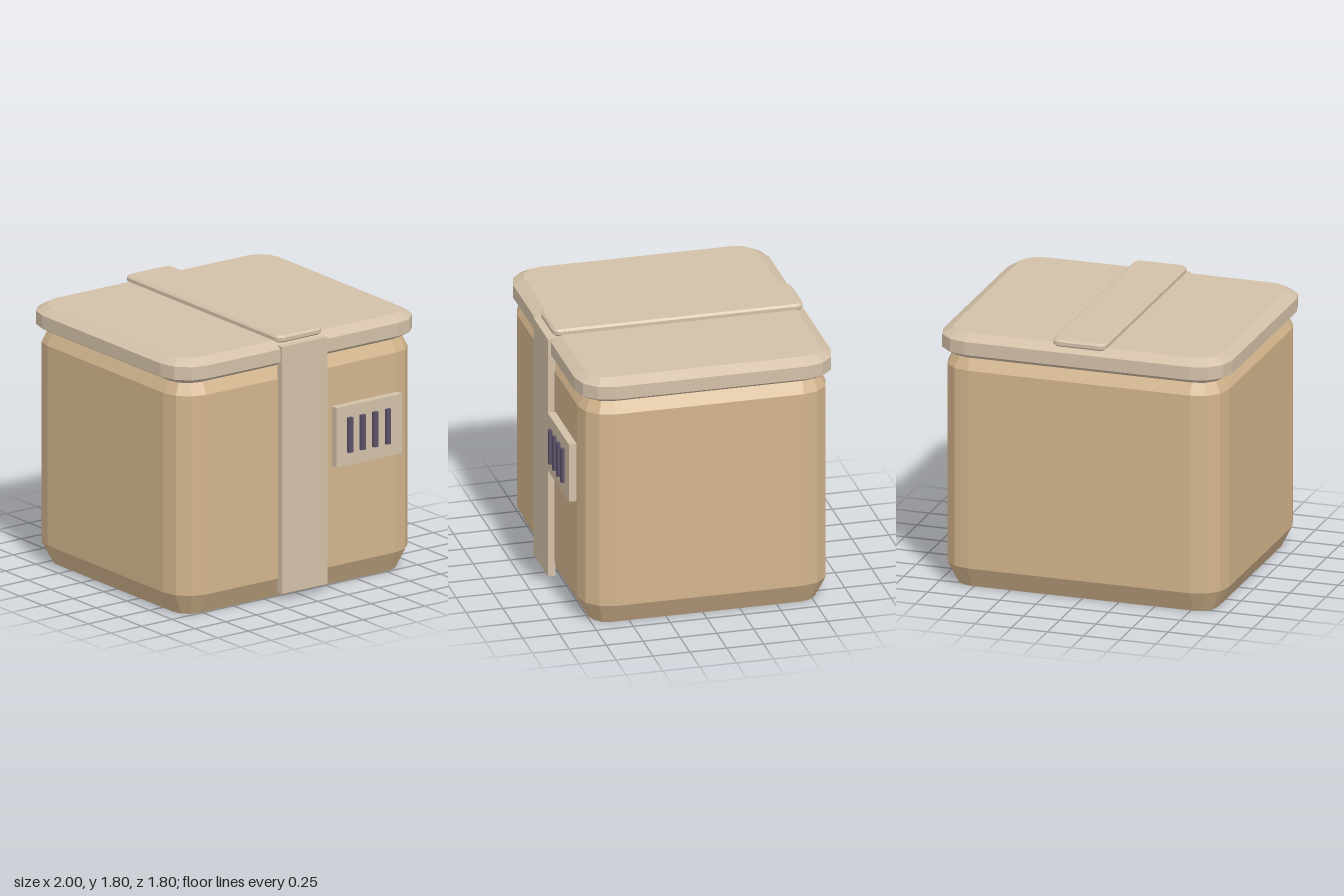
import * as THREE from 'three';

const mat = (name, color) => {
  const m = new THREE.MeshStandardMaterial({ color, flatShading: true });
  m.name = name;
  return m;
};

// Rounded rectangle ring at height y, shrunk evenly by inset (3 facets per corner)
function ring(halfX, halfZ, radius, inset, y) {
  const pts = [], r = radius - inset;
  for (let c = 0; c < 4; c++) {
    const sx = c === 0 || c === 3 ? 1 : -1, sz = c < 2 ? 1 : -1;
    for (let i = 0; i <= 3; i++) {
      const a = (c + i / 3) * Math.PI / 2;
      pts.push([sx * (halfX - radius) + r * Math.cos(a), y, sz * (halfZ - radius) + r * Math.sin(a)]);
    }
  }
  return pts;
}

// Closed loft through [inset, y] levels, bottom to top
function bevelledSlab(halfX, halfZ, radius, levels) {
  const rings = levels.map(([inset, y]) => ring(halfX, halfZ, radius, inset, y));
  const n = 16, pos = [], idx = [];
  rings.forEach(r => r.forEach(p => pos.push(...p)));
  for (let k = 0; k < rings.length - 1; k++) {
    for (let i = 0; i < n; i++) {
      const a = k * n + i, b = k * n + (i + 1) % n;
      idx.push(a, a + n, b, b, a + n, b + n);
    }
  }
  const top = (rings.length - 1) * n;
  for (let i = 1; i < n - 1; i++) {
    idx.push(0, i, i + 1, top, top + i + 1, top + i);
  }
  const g = new THREE.BufferGeometry();
  g.setAttribute('position', new THREE.Float32BufferAttribute(pos, 3));
  g.setIndex(idx);
  const flat = g.toNonIndexed();
  flat.computeVertexNormals();
  return flat;
}

export function createModel() {
  const tan = mat('crate tan', 0xd2b48c);
  const beige = mat('trim beige', 0xd2c0a8);
  const dark = mat('slot purple', 0x5c5068);
  const model = new THREE.Group();
  model.name = 'crate';

  const add = (name, geometry, material, x, y, z) => {
    const m = new THREE.Mesh(geometry, material);
    m.name = name;
    m.position.set(x, y, z);
    model.add(m);
  };
  // Box given by its min and max corners
  const box = (name, material, x0, x1, y0, y1, z0, z1) =>
    add(name, new THREE.BoxGeometry(x1 - x0, y1 - y0, z1 - z0), material,
      (x0 + x1) / 2, (y0 + y1) / 2, (z0 + z1) / 2);

  // Main container and lid
  add('body', bevelledSlab(0.97, 0.84, 0.2,
    [[0.075, 0], [0, 0.145], [0, 1.515], [0.045, 1.6]]), tan, 0, 0, -0.025);
  add('lid', bevelledSlab(1, 0.87, 0.22,
    [[0.07, 1.595], [0, 1.635], [0, 1.725], [0.075, 1.767]]), beige, 0, 0, -0.03);

  // Strap over the lid and down the front
  add('topStrap', bevelledSlab(0.185, 0.85, 0.05,
    [[0.015, 1.755], [0, 1.767], [0, 1.79], [0.015, 1.803]]), beige, 0, 0, -0.03);
  box('frontStrap', beige, -0.185, 0.185, 0.05, 1.745, 0.81, 0.86);

  // Vent plate with four slots
  box('ventPlate', beige, 0.245, 0.78, 0.84, 1.25, 0.825, 0.878);
  for (let i = 0; i < 4; i++) {
    const x = 0.347 + i * 0.103;
    box('ventSlot', dark, x - 0.018, x + 0.018, 0.93, 1.17, 0.86, 0.9);
  }
  return model;
}
